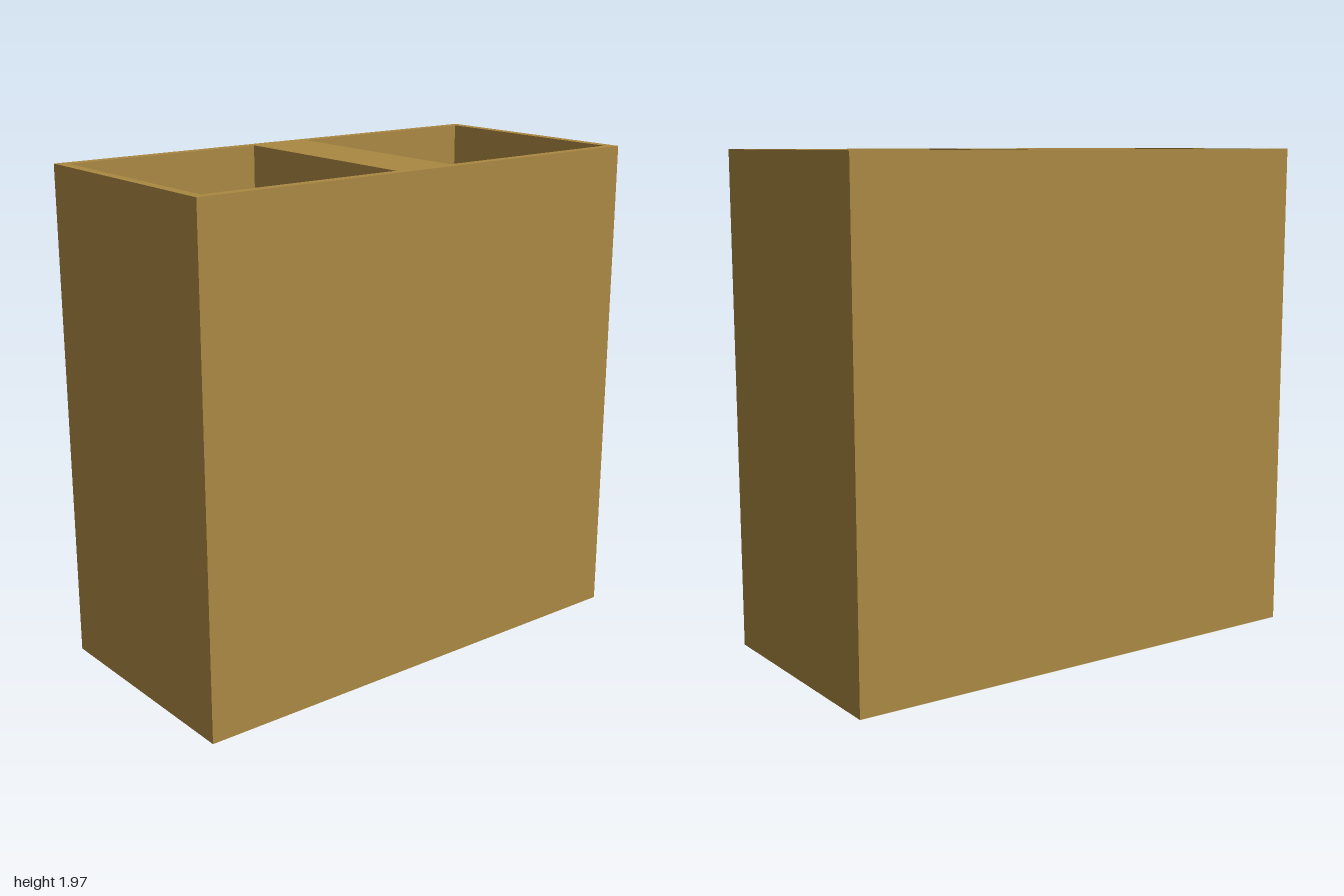
import * as THREE from 'three';

const WIDTH = 0.96, HEIGHT = 1.97, DEPTH = 2;
const WALL = 0.04, DIVIDER = 0.26;

// Traces a rectangle centred on (0, cy)
function traceRect(path, w, h, cy = 0) {
  path.moveTo(-w / 2, cy - h / 2);
  path.lineTo(w / 2, cy - h / 2);
  path.lineTo(w / 2, cy + h / 2);
  path.lineTo(-w / 2, cy + h / 2);
  path.closePath();
  return path;
}

export function createModel() {
  const model = new THREE.Group();
  model.name = 'twoCompartmentBox';

  const tan = new THREE.MeshStandardMaterial({ color: 0xaa8842 });
  tan.name = 'ochre';

  const innerWidth = WIDTH - 2 * WALL;
  const innerDepth = (DEPTH - 2 * WALL - DIVIDER) / 2;
  const offset = (DIVIDER + innerDepth) / 2;

  // Outer walls and thick divider around two open wells
  const plan = traceRect(new THREE.Shape(), WIDTH, DEPTH);
  for (const side of [-1, 1]) {
    plan.holes.push(traceRect(new THREE.Path(), innerWidth, innerDepth, side * offset));
  }
  const wallGeometry = new THREE.ExtrudeGeometry(plan, { depth: HEIGHT, bevelEnabled: false });
  wallGeometry.rotateX(-Math.PI / 2);
  const walls = new THREE.Mesh(wallGeometry, tan);
  walls.name = 'wallsAndDivider';
  model.add(walls);

  // Floor of each well
  for (const side of [-1, 1]) {
    const floor = new THREE.Mesh(new THREE.BoxGeometry(innerWidth, WALL, innerDepth), tan);
    floor.name = side > 0 ? 'frontFloor' : 'backFloor';
    floor.position.set(0, WALL / 2, side * offset);
    model.add(floor);
  }

  return model;
}
